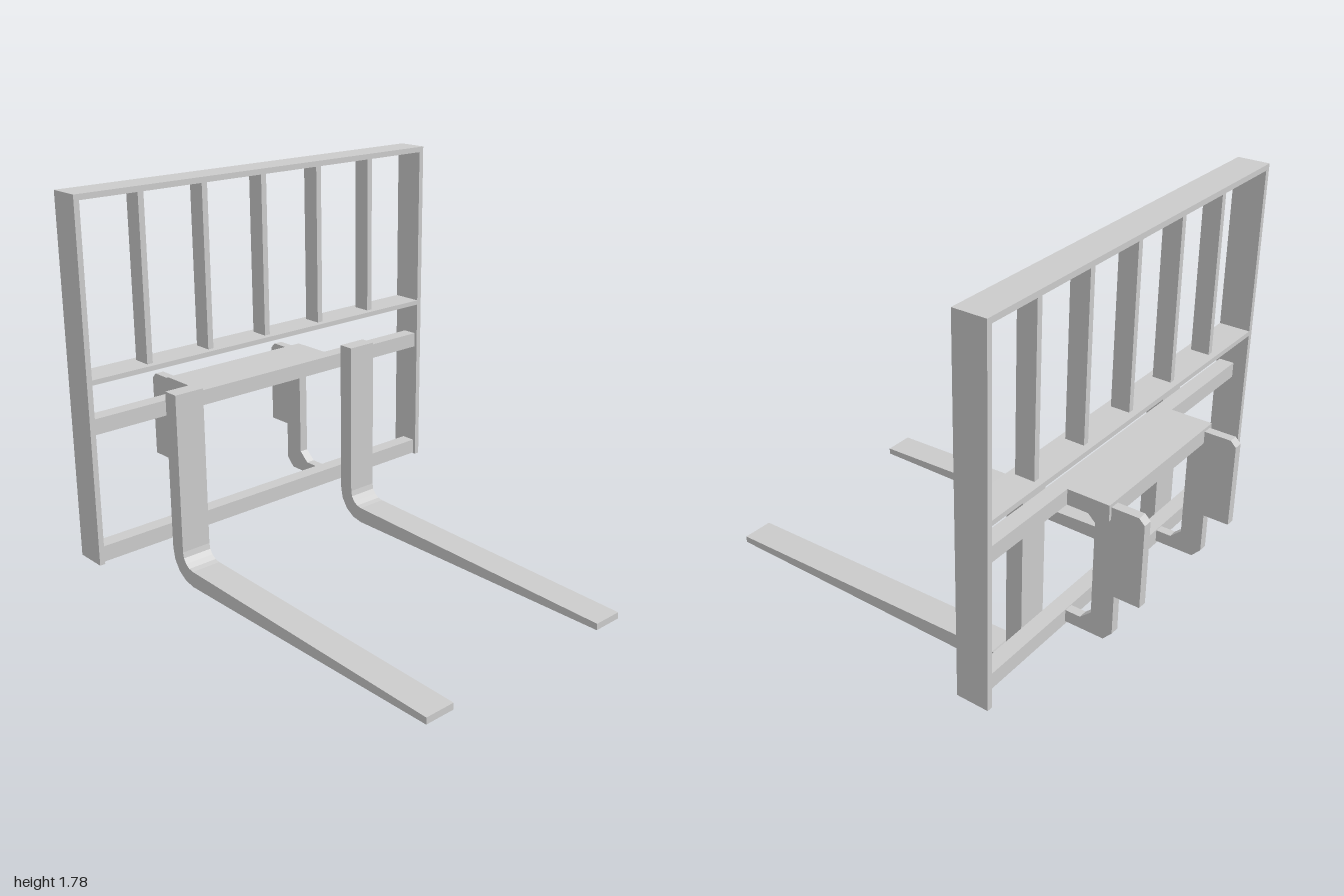
import * as THREE from 'three';

const material = new THREE.MeshStandardMaterial({ color: 0xcccccc, flatShading: true });

export function createModel() {
  const model = new THREE.Group();

  const add = (name, geometry) => {
    const mesh = new THREE.Mesh(geometry, material);
    mesh.name = name;
    model.add(mesh);
  };

  // Box given by its limits on each axis
  const box = (name, x0, x1, y0, y1, z0, z1) => {
    const g = new THREE.BoxGeometry(x1 - x0, y1 - y0, z1 - z0);
    add(name, g.translate((x0 + x1) / 2, (y0 + y1) / 2, (z0 + z1) / 2));
  };

  // Side profile of [z, y] points, extruded across x around a centre
  const sidePlate = (name, points, centreX, width) => {
    const shape = new THREE.Shape(points.map(([z, y]) => new THREE.Vector2(z, y)));
    const g = new THREE.ExtrudeGeometry(shape, { depth: width, bevelEnabled: false });
    add(name, g.rotateY(-Math.PI / 2).translate(centreX + width / 2, 0, 0));
  };

  const halfWidth = 0.965, wall = 0.025, inner = halfWidth - wall;
  const frameBack = -0.725, frameFront = -0.58;
  const barBack = -0.665, barFront = -0.595;

  // Load guard frame
  box('topRail', -halfWidth, halfWidth, 1.76, 1.785, frameBack, frameFront);
  box('middleRail', -inner, inner, 0.998, 1.02, frameBack, frameFront);
  for (const s of [-1, 1]) {
    const c = s * (halfWidth - wall / 2);
    box(s > 0 ? 'leftPost' : 'rightPost', c - wall / 2, c + wall / 2, 0.19, 1.76, frameBack, frameFront);
  }
  for (let i = -2; i <= 2; i++) {
    const x = i * 0.319;
    box('guardSlat', x - 0.014, x + 0.014, 1.02, 1.76, -0.695, -0.61);
  }

  // Carriage bars and the shelf behind them
  box('upperBar', -inner, inner, 0.775, 0.845, barBack, barFront);
  box('lowerBar', -inner, inner, 0.193, 0.265, barBack, barFront);
  box('couplingShelf', -0.39, 0.39, 0.775, 0.845, -0.855, barBack);

  // Fork: tapered blade, rounded heel and upright shank
  const arc = (radius, from, to, steps = 4) => Array.from({ length: steps + 1 }, (_, i) => {
    const a = from + (to - from) * i / steps;
    return [-0.45 - radius * Math.sin(a), 0.145 - radius * Math.cos(a)];
  });
  const forkProfile = [
    [1, 0], [1, 0.03],
    ...arc(0.07, 0, Math.PI / 2),
    [-0.52, 0.885], [-0.595, 0.885],
    ...arc(0.145, Math.PI / 2, 0),
  ];

  // Coupling bracket with hooked ends
  const bracketProfile = [
    [barBack, 0.83], [-0.975, 0.83], [-1, 0.805], [-1, 0.43], [-0.885, 0.43],
    [-0.885, 0.25], [-0.845, 0.207], [barBack, 0.207], [barBack, 0.262], [-0.735, 0.262],
    [-0.785, 0.307], [-0.785, 0.732], [-0.74, 0.775], [barBack, 0.775],
  ];

  for (const s of [-1, 1]) {
    const side = s > 0 ? 'left' : 'right';
    sidePlate(side + 'Fork', forkProfile, s * 0.507, 0.145);
    sidePlate(side + 'Bracket', bracketProfile, s * 0.354, 0.042);
  }

  return model;
}
